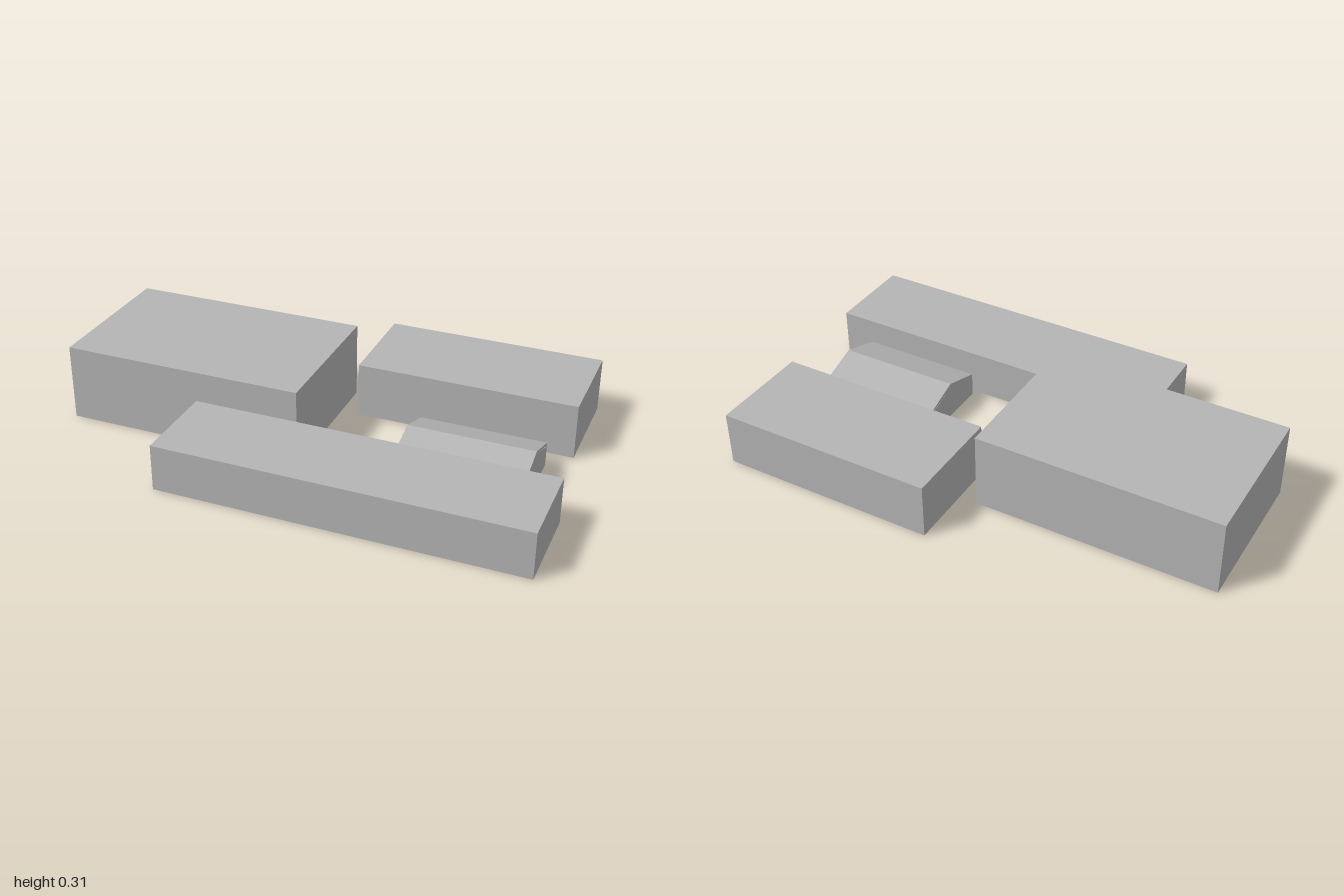
import * as THREE from 'three';

export function createModel() {
  const model = new THREE.Group();
  model.name = 'buildingBlocks';
  const grey = new THREE.MeshStandardMaterial({ color: 0xb4b4b4 });
  grey.name = 'plain grey';

  const add = (name, geometry, parent = model) => {
    const mesh = new THREE.Mesh(geometry, grey);
    mesh.name = name;
    parent.add(mesh);
    return mesh;
  };

  // Flat-roofed blocks, given by their x and z ranges and height
  const block = (name, x0, x1, z0, z1, h) =>
    add(name, new THREE.BoxGeometry(x1 - x0, h, z1 - z0))
      .position.set((x0 + x1) / 2, h / 2, (z0 + z1) / 2);
  block('mainBlock', -1, -0.02, -0.367, 0.253, 0.31);
  block('frontBlock', -0.442, 1, 0.253, 0.617, 0.187);
  block('backBlock', 0.053, 0.943, -0.617, -0.2, 0.224);

  // Hollow gabled hut, open underneath
  const hut = new THREE.Group();
  hut.name = 'hut';
  model.add(hut);
  const x0 = 0.353, x1 = 0.855, z0 = -0.106, z1 = 0.229;
  const eave = 0.1, ridge = 0.155, mid = (z0 + z1) / 2, t = 0.012;
  const shapeOf = (points) => new THREE.Shape(points.map(([a, b]) => new THREE.Vector2(a, b)));
  const extrude = (shape, depth) => new THREE.ExtrudeGeometry(shape, { depth, bevelEnabled: false });
  // Profiles drawn in (z, y) run along x from xMax towards -x
  const across = (name, points, xMax, depth) => {
    const geometry = extrude(shapeOf(points), depth).rotateY(-Math.PI / 2);
    add(name, geometry, hut).position.x = xMax;
  };

  // Roof folded down into the front wall
  across('roofAndFrontWall', [
    [z1, 0], [z1, eave], [mid, ridge], [z0, eave],
    [z0, eave - t], [mid, ridge - t], [z1 - t, eave - t], [z1 - t, 0],
  ], x1, x1 - x0);

  // Gable ends, fitted under the roof
  const gable = [[z0 + t, 0], [z1 - t, 0], [z1 - t, eave - t], [mid, ridge - t], [z0 + t, eave - t]];
  across('gableLeft', gable, x1, t);
  across('gableRight', gable, x0 + t, t);

  // Back wall with a doorway and three windows
  const top = eave - t;
  const wall = shapeOf([
    [x0, 0], [x0 + 0.02, 0], [x0 + 0.02, 0.075], [x0 + 0.06, 0.075], [x0 + 0.06, 0],
    [x1, 0], [x1, top], [x0, top],
  ]);
  for (const x of [0.455, 0.605, 0.755]) {
    const w = 0.025, low = 0.028, high = 0.075;
    wall.holes.push(new THREE.Path([[x - w, low], [x - w, high], [x + w, high], [x + w, low]]
      .map(([a, b]) => new THREE.Vector2(a, b))));
  }
  add('backWall', extrude(wall, t), hut).position.z = z0;

  return model;
}
